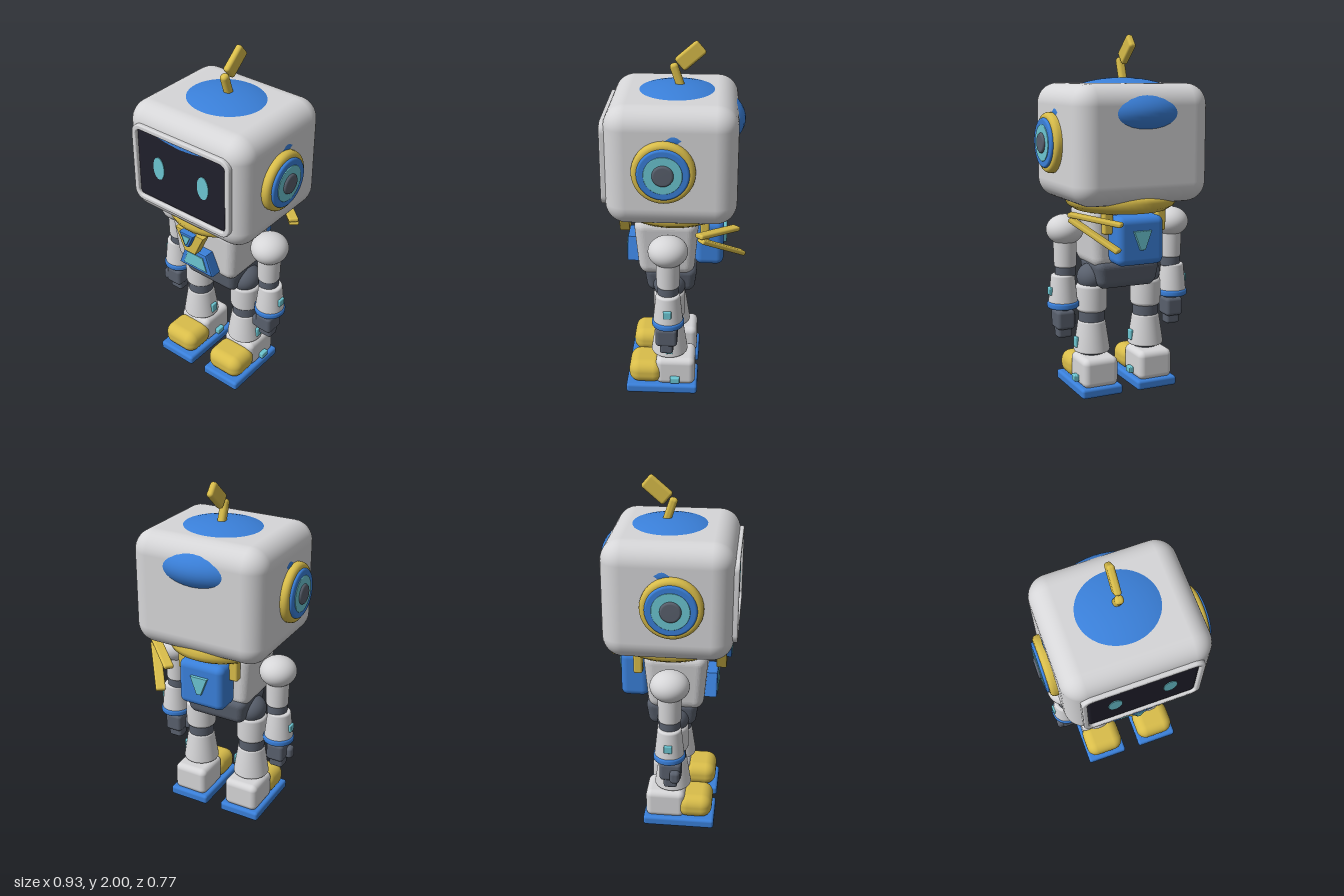
import * as THREE from 'three';
import { RoundedBoxGeometry } from 'three/addons/geometries/RoundedBoxGeometry.js';

const mat = (name, color) => Object.assign(new THREE.MeshStandardMaterial({ color }), { name });

export function createModel() {
  const white = mat('shell white', 0xd6d6d8);
  const blue = mat('trim blue', 0x3a80da);
  const gold = mat('gold', 0xd9bd4a);
  const dark = mat('screen dark', 0x201f2b);
  const cyan = mat('glow cyan', 0x6cc6d2);
  const gray = mat('joint gray', 0x59606d);
  const root = new THREE.Group();
  root.name = 'robot';

  const add = (parent, name, geo, material, x = 0, y = 0, z = 0) => {
    const m = new THREE.Mesh(geo, material);
    m.name = name;
    m.position.set(x, y, z);
    parent.add(m);
    return m;
  };
  const group = (name, x = 0, y = 0, z = 0) => {
    const g = new THREE.Group();
    g.name = name;
    g.position.set(x, y, z);
    root.add(g);
    return g;
  };
  const rbox = (w, h, d, r) => new RoundedBoxGeometry(w, h, d, 5, r);
  const ellipsoid = (a, b, c) => new THREE.SphereGeometry(1, 48, 32).scale(a, b, c);
  // Solid of revolution from y0 to y1 with rounded rims
  const drum = (r0, r1, y0, y1, e = 0.012) => {
    const p = [new THREE.Vector2(0, y0)];
    for (let i = 0; i <= 4; i++) {
      const a = (i / 4) * Math.PI / 2;
      p.push(new THREE.Vector2(r0 - e + e * Math.sin(a), y0 + e - e * Math.cos(a)));
    }
    for (let i = 0; i <= 4; i++) {
      const a = (i / 4) * Math.PI / 2;
      p.push(new THREE.Vector2(r1 - e + e * Math.cos(a), y1 - e + e * Math.sin(a)));
    }
    p.push(new THREE.Vector2(0, y1));
    return new THREE.LatheGeometry(p, 40);
  };
  // Bevelled trapezoid plate spanning z0 to z1
  const plate = (bottom, top, y0, y1, z0, z1, b = 0.006) => {
    const s = new THREE.Shape([[-bottom + b, y0 + b], [bottom - b, y0 + b], [top - b, y1 - b], [-top + b, y1 - b]]
      .map(([x, y]) => new THREE.Vector2(x, y)));
    return new THREE.ExtrudeGeometry(s, { depth: z1 - z0 - 2 * b, bevelSize: b, bevelThickness: b, bevelSegments: 2 })
      .translate(0, 0, z0 + b);
  };
  const roundedRect = (path, w, h, r) => {
    path.moveTo(-w + r, -h);
    path.lineTo(w - r, -h); path.absarc(w - r, -h + r, r, -Math.PI / 2, 0);
    path.lineTo(w, h - r); path.absarc(w - r, h - r, r, 0, Math.PI / 2);
    path.lineTo(-w + r, h); path.absarc(-w + r, h - r, r, Math.PI / 2, Math.PI);
    path.lineTo(-w, -h + r); path.absarc(-w + r, -h + r, r, Math.PI, Math.PI * 1.5);
    return path;
  };

  // Head, with a blue cap that breaks through the shell
  const head = group('head');
  add(head, 'headShell', rbox(0.79, 0.645, 0.695, 0.115), white, 0, 1.4225, 0.0175);
  add(head, 'cap', ellipsoid(0.398, 0.185, 0.368), blue, 0, 1.59, 0);
  const frame = roundedRect(new THREE.Shape(), 0.315, 0.222, 0.05);
  frame.holes.push(roundedRect(new THREE.Path(), 0.303, 0.209, 0.04));
  add(head, 'screenFrame', new THREE.ExtrudeGeometry(frame, {
    depth: 0.03, bevelSize: 0.008, bevelThickness: 0.008, bevelSegments: 3, curveSegments: 8,
  }), white, 0, 1.425, 0.347);
  add(head, 'screen', rbox(0.608, 0.42, 0.06, 0.028), dark, 0, 1.425, 0.342);
  add(head, 'brow', new THREE.ExtrudeGeometry(
    new THREE.Shape([[-0.17, 0.022], [-0.09, 0.008], [0, 0], [0.09, 0.008], [0.17, 0.022]]
      .map(([x, y]) => new THREE.Vector2(x, y))), { depth: 0.006, bevelEnabled: false }), blue, 0, 1.603, 0.368);
  for (const s of [-1, 1]) {
    const eye = add(head, 'eye', new THREE.CylinderGeometry(1, 1, 1, 40).rotateX(Math.PI / 2), cyan, s * 0.148, 1.435, 0.373);
    eye.scale.set(0.037, 0.066, 0.006);
    // Ear discs
    const ear = group('ear', s * 0.37, 1.425, 0.05);
    ear.rotation.z = -s * Math.PI / 2;
    add(ear, 'earRim', drum(0.165, 0.165, 0, 0.066, 0.025), gold);
    add(ear, 'earDisc', drum(0.136, 0.136, 0, 0.08), blue);
    add(ear, 'earGlow', drum(0.1, 0.1, 0, 0.084, 0.004), cyan);
    add(ear, 'earHub', drum(0.056, 0.056, 0, 0.096), gray);
  }

  // Antenna
  const stem = add(head, 'antennaStem', rbox(0.045, 0.14, 0.045, 0.018), gold, 0, 1.815, 0);
  stem.rotation.x = 0.33;
  const paddle = add(head, 'antennaPaddle', rbox(0.038, 0.086, 0.156, 0.015), gold, 0, 1.923, -0.07);
  paddle.rotation.x = 0.71;

  // Scarf: collar, front knot, back straps and loose tails
  const scarf = group('scarf');
  const collar = [[0, 1.04], [0.2, 1.04], [0.26, 1.05], [0.3, 1.075], [0.317, 1.11], [0.3, 1.14], [0, 1.15]]
    .map(([x, y]) => new THREE.Vector2(x, y));
  add(scarf, 'collar', new THREE.LatheGeometry(collar, 48).scale(1, 1, 1.04), gold, 0, 0, 0.012);
  add(scarf, 'knot', plate(0.04, 0.097, 0.925, 1.06, 0.265, 0.322), gold);
  add(scarf, 'emblem', plate(0.014, 0.047, 0.98, 1.065, 0.31, 0.348), blue);
  add(scarf, 'emblemGlow', plate(0.007, 0.029, 0.998, 1.052, 0.34, 0.353, 0.002), cyan);
  for (const x of [-0.16, 0.16]) add(scarf, 'backStrap', rbox(0.055, 0.13, 0.05, 0.012), gold, x, 1.0, -0.16);
  for (const [a, b] of [
    [[0.37, 1.055, -0.13], [0.15, 1.01, -0.335]],
    [[0.365, 1.03, -0.14], [0.185, 0.877, -0.37]],
  ]) {
    const p = new THREE.Vector3(...a), q = new THREE.Vector3(...b);
    const mid = p.clone().add(q).multiplyScalar(0.5);
    const tail = add(scarf, 'scarfTail', rbox(0.055, 0.026, p.distanceTo(q), 0.01), gold, mid.x, mid.y, mid.z);
    tail.lookAt(q);
  }

  // Torso tapering downward, pelvis, chest panel and backpack
  const body = group('body');
  const taper = (geo, h, k) => {
    const p = geo.attributes.position;
    for (let i = 0; i < p.count; i++) {
      const f = 1 - k * (0.5 - p.getY(i) / h);
      p.setX(i, p.getX(i) * f);
      p.setZ(i, p.getZ(i) * f);
    }
    geo.computeVertexNormals();
    return geo;
  };
  add(body, 'torso', taper(new RoundedBoxGeometry(0.48, 0.35, 0.36, 6, 0.06), 0.35, 0.16), 0.35 && white, 0, 0.9, 0.05);
  add(body, 'pelvis', taper(rbox(0.4, 0.16, 0.3, 0.045), 0.16, 0.14), gray, 0, 0.688, 0.028);
  add(body, 'chestPanel', plate(0.117, 0.077, 0.775, 0.905, 0.2, 0.276, 0.01), blue);
  add(body, 'chestGlow', plate(0.082, 0.055, 0.797, 0.882, 0.265, 0.281, 0.003), cyan);
  add(body, 'backpack', rbox(0.28, 0.27, 0.16, 0.04), blue, 0, 0.9, -0.185);
  add(body, 'backpackGlow', plate(0.015, 0.052, 0.855, 0.96, -0.283, -0.255, 0.004), cyan);

  for (const s of [-1, 1]) {
    // Arm
    const arm = group(s > 0 ? 'leftArm' : 'rightArm', s * 0.33, 0, 0.033);
    add(arm, 'shoulder', ellipsoid(0.104, 0.085, 0.108), white, 0, 0.945, 0);
    add(arm, 'upperArm', drum(0.063, 0.066, 0.735, 0.9), white);
    add(arm, 'elbow', drum(0.058, 0.058, 0.68, 0.745), gray);
    add(arm, 'forearm', drum(0.083, 0.067, 0.515, 0.695), white, s * 0.015);
    add(arm, 'cuff', drum(0.089, 0.089, 0.503, 0.541), blue, s * 0.015);
    add(arm, 'armLight', rbox(0.03, 0.045, 0.045, 0.006), cyan, s * 0.085, 0.603, 0);
    add(arm, 'wrist', drum(0.04, 0.04, 0.47, 0.51), gray, s * 0.01);
    add(arm, 'palm', rbox(0.105, 0.11, 0.12, 0.02), gray, s * 0.012, 0.436, 0.008);
    add(arm, 'fingers', rbox(0.085, 0.08, 0.075, 0.016), gray, s * 0.012, 0.37, 0.008);
    add(arm, 'thumb', rbox(0.062, 0.075, 0.055, 0.02), gray, s * 0.012 - 0.052, 0.418, 0.035);

    // Leg
    const leg = group(s > 0 ? 'leftLeg' : 'rightLeg', s * 0.171, 0, 0.035);
    add(leg, 'hip', ellipsoid(0.082, 0.08, 0.09), gray, 0, 0.66, 0);
    add(leg, 'thigh', drum(0.088, 0.088, 0.465, 0.625, 0.02), white);
    add(leg, 'knee', drum(0.075, 0.075, 0.4, 0.475), gray);
    add(leg, 'shin', drum(0.104, 0.08, 0.23, 0.412), white);
    add(leg, 'ankle', drum(0.07, 0.07, 0.19, 0.24), gray);
    add(leg, 'shinLight', rbox(0.03, 0.06, 0.042, 0.006), cyan, 0.092, 0.29, -0.002);

    // Foot
    const foot = group(s > 0 ? 'leftFoot' : 'rightFoot', s * 0.171);
    add(foot, 'heel', rbox(0.21, 0.17, 0.225, 0.035), white, 0, 0.133, -0.002);
    add(foot, 'toe', rbox(0.23, 0.14, 0.2, 0.06), gold, 0, 0.12, 0.167);
    add(foot, 'sole', rbox(0.248, 0.056, 0.41, 0.016), blue, 0, 0.028, 0.077);
    add(foot, 'footLight', rbox(0.04, 0.036, 0.055, 0.006), cyan, 0.11, 0.092, 0);
  }
  return root;
}
